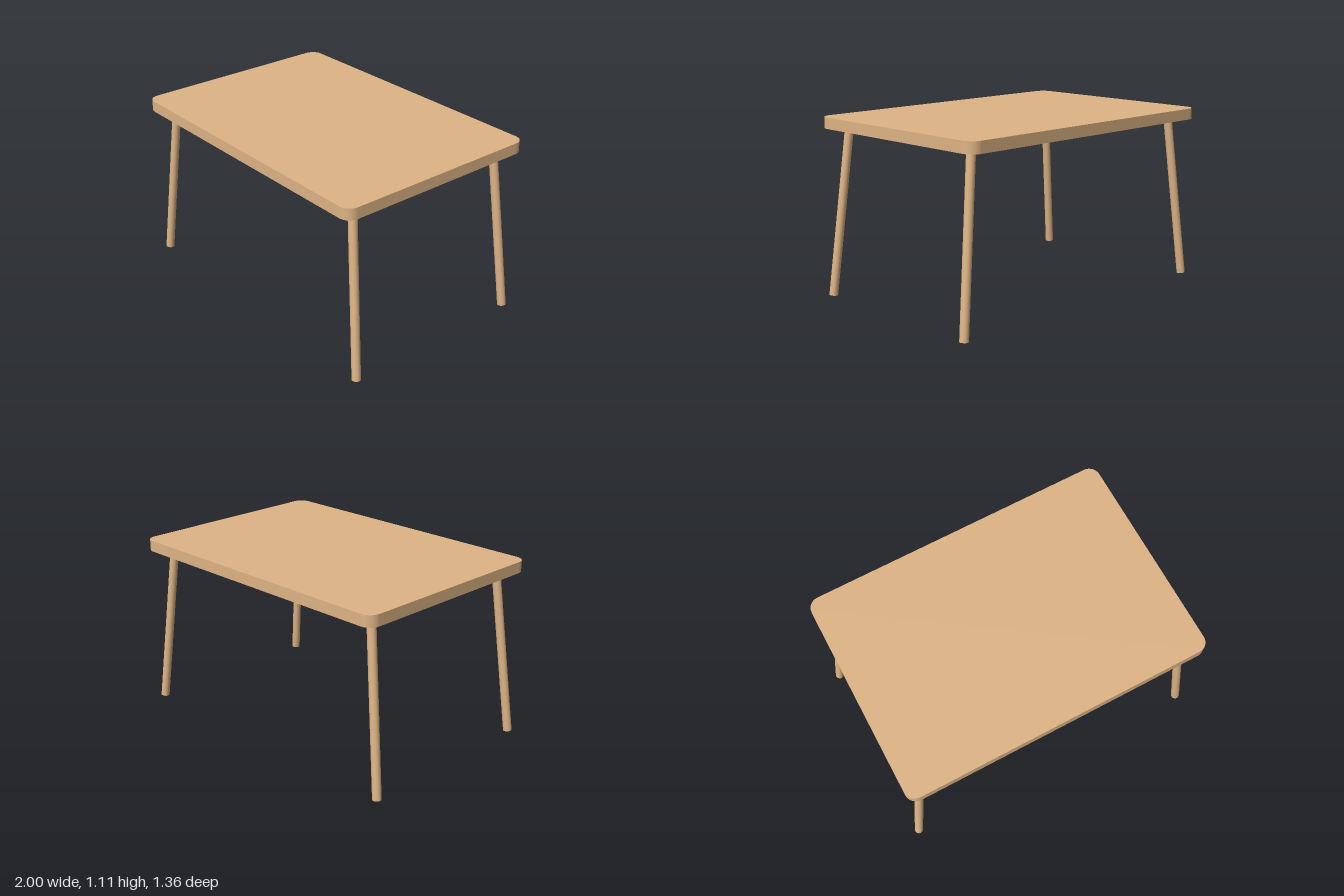
import * as THREE from 'three';

const wood = new THREE.MeshStandardMaterial({ color: 0xdeb485 });

// Rounded rectangle centred on the origin
function roundedRect(w, d, r) {
  const x = w / 2, y = d / 2, s = new THREE.Shape();
  s.moveTo(-x + r, -y);
  s.lineTo(x - r, -y);
  s.absarc(x - r, -y + r, r, -Math.PI / 2, 0);
  s.lineTo(x, y - r);
  s.absarc(x - r, y - r, r, 0, Math.PI / 2);
  s.lineTo(-x + r, y);
  s.absarc(-x + r, y - r, r, Math.PI / 2, Math.PI);
  s.lineTo(-x, -y + r);
  s.absarc(-x + r, -y + r, r, Math.PI, Math.PI * 1.5);
  return s;
}

// Straight round leg between two points
function makeLeg(foot, head, radius) {
  const dir = head.clone().sub(foot);
  const leg = new THREE.Mesh(new THREE.CylinderGeometry(radius, radius, dir.length(), 32), wood);
  leg.position.copy(foot).add(head).multiplyScalar(0.5);
  leg.quaternion.setFromUnitVectors(new THREE.Vector3(0, 1, 0), dir.normalize());
  return leg;
}

export function createModel() {
  const table = new THREE.Group();
  table.name = 'table';

  // Slab with rounded corners
  const slab = new THREE.ExtrudeGeometry(roundedRect(1.95, 1.36, 0.07), {
    depth: 0.07, bevelEnabled: false, curveSegments: 12,
  });
  slab.rotateX(-Math.PI / 2);
  const top = new THREE.Mesh(slab, wood);
  top.name = 'tableTop';
  top.position.y = 1.043;
  table.add(top);

  // Four legs splayed outwards towards the floor
  for (const [sz, end] of [[1, 'front'], [-1, 'back']]) {
    for (const [sx, side] of [[1, 'Left'], [-1, 'Right']]) {
      const leg = makeLeg(
        new THREE.Vector3(sx * 0.973, 0.0035, sz * 0.604),
        new THREE.Vector3(sx * 0.855, 1.05, sz * 0.545),
        0.027,
      );
      leg.name = `${end}${side}Leg`;
      table.add(leg);
    }
  }
  return table;
}
